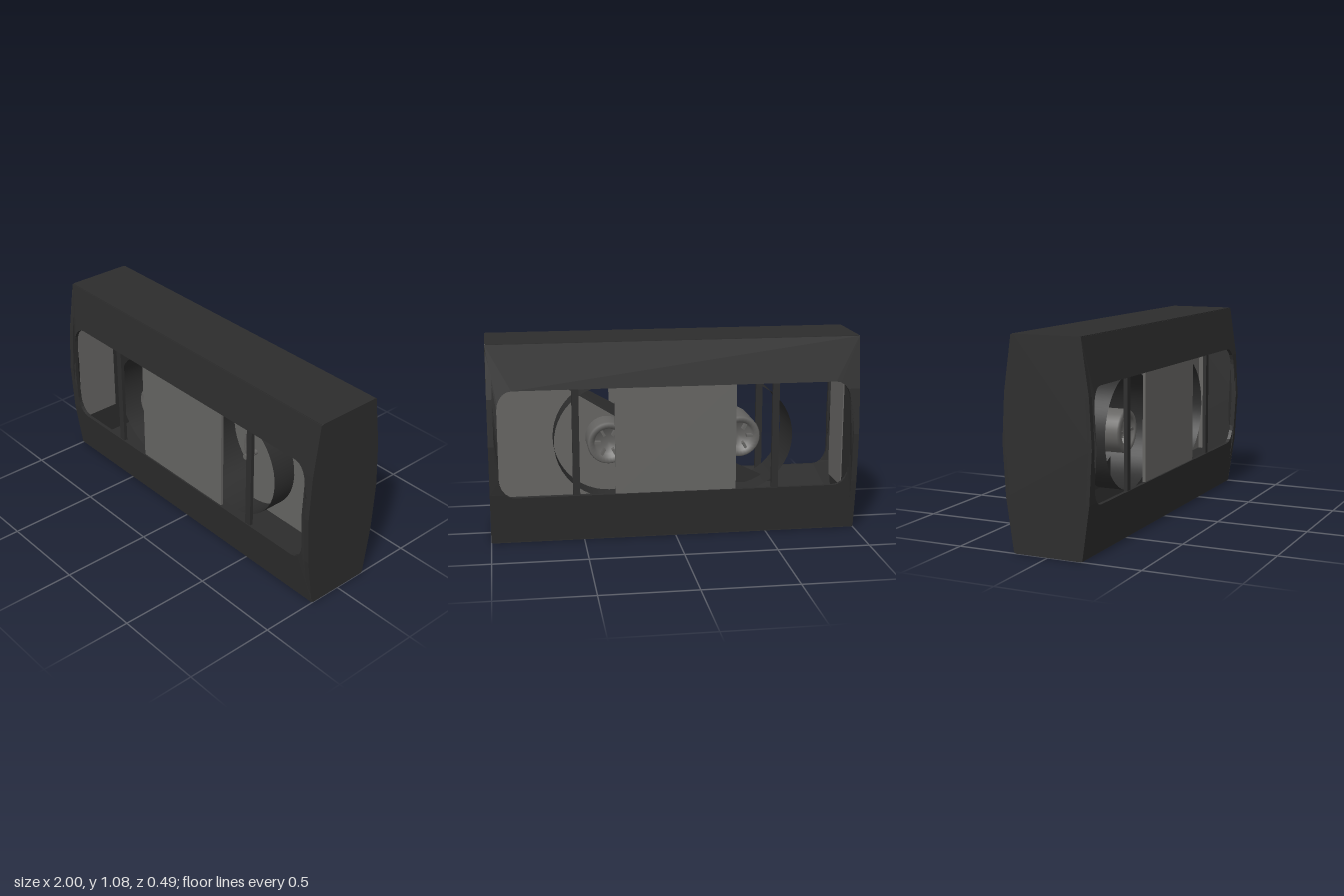
import * as THREE from 'three';

const shellMat = new THREE.MeshStandardMaterial({ color: 0x2d2d2d, side: THREE.DoubleSide });
shellMat.name = 'charcoal plastic';
const greyMat = new THREE.MeshStandardMaterial({ color: 0x666563, side: THREE.DoubleSide });
greyMat.name = 'warm grey';

const H = 1.083, CY = 0.53;
const profile = [[0, 0.188], [0.28, 0.228], [0.55, 0.243], [0.8, 0.229], [H, 0.188]];

// half depth of the case at height y
function bulge(y) {
  for (let i = 1; i < profile.length; i++) {
    const [y0, z0] = profile[i - 1], [y1, z1] = profile[i];
    if (y <= y1 || i === profile.length - 1) return z0 + (z1 - z0) * (y - y0) / (y1 - y0);
  }
}

function add(parent, name, geo, mat, x = 0, y = 0, z = 0) {
  const m = new THREE.Mesh(geo, mat);
  m.name = name;
  m.position.set(x, y, z);
  parent.add(m);
  return m;
}
const box = (w, h, d) => new THREE.BoxGeometry(w, h, d);

function polygon(points) {
  return new THREE.Shape(points.map(([x, y]) => new THREE.Vector2(x, y)));
}

// Face plate with a rounded window, bent to the bulged profile
function facePlate() {
  const side = [0.005, 0.28, 0.42, 0.55, 0.68, 0.8, H - 0.003];
  const shape = polygon([
    ...side.map(y => [1, y]),
    ...side.slice().reverse().map(y => [-1, y]),
  ]);
  const hole = [];
  const mids = [0.42, 0.55, 0.68];
  const corner = (cx, cy, start) => {
    for (let i = 0; i <= 5; i++) {
      const a = start + i * Math.PI / 10;
      hole.push([cx + 0.08 * Math.cos(a), cy + 0.1 * Math.sin(a)]);
    }
  };
  corner(0.87, 0.74, 0);
  corner(-0.87, 0.74, Math.PI / 2);
  mids.slice().reverse().forEach(y => hole.push([-0.95, y]));
  corner(-0.87, 0.36, Math.PI);
  corner(0.87, 0.36, Math.PI * 1.5);
  mids.forEach(y => hole.push([0.95, y]));
  shape.holes.push(new THREE.Path(hole.map(([x, y]) => new THREE.Vector2(x, y))));
  const geo = new THREE.ExtrudeGeometry(shape, { depth: 0.02, bevelEnabled: false });
  const p = geo.attributes.position;
  for (let i = 0; i < p.count; i++) p.setZ(i, p.getZ(i) - 0.02 + bulge(p.getY(i)));
  geo.computeVertexNormals();
  return geo;
}

// End wall cut to the bulged profile
function endWall() {
  const right = [[0.178, 0], [0.188, 0.012], ...profile.slice(1, 4).map(([y, z]) => [z, y]),
    [0.188, H - 0.012], [0.178, H]];
  const left = right.map(([z, y]) => [-z, y]).reverse();
  const geo = new THREE.ExtrudeGeometry(polygon([...right, ...left]), { depth: 0.03, bevelEnabled: false });
  geo.rotateY(Math.PI / 2);
  return geo;
}

// Hub with rim, recessed web and drive teeth, along z from z0 to z1
function hub(x, z0, z1) {
  const g = new THREE.Group();
  g.name = 'reelHub';
  g.position.set(x, CY, 0);
  const mid = (z0 + z1) / 2, h = (z1 - z0) / 2;
  const pts = [[0, -h + 0.04], [0.07, -h + 0.04], [0.08, -h], [0.108, -h], [0.115, -h + 0.01],
    [0.115, h - 0.01], [0.108, h], [0.08, h], [0.07, h - 0.04], [0, h - 0.04]];
  const geo = new THREE.LatheGeometry(pts.map(([r, y]) => new THREE.Vector2(r, y)), 32);
  geo.rotateX(Math.PI / 2);
  add(g, 'hubBody', geo, greyMat, 0, 0, mid);
  for (let i = 0; i < 6; i++) {
    const a = i * Math.PI / 3;
    const tooth = add(g, 'hubTooth', box(0.035, 0.014, h * 2 - 0.01), greyMat,
      0.06 * Math.cos(a), 0.06 * Math.sin(a), mid);
    tooth.rotation.z = a;
  }
  return g;
}

// One face with its bars, centre panel and end lining
function faceHalf() {
  const g = new THREE.Group();
  add(g, 'facePlate', facePlate(), shellMat);
  for (const s of [-1, 1]) add(g, 'windowBar', box(0.037, 0.6, 0.02), shellMat, s * 0.54, 0.55, 0.21);
  add(g, 'centrePanel', box(0.655, 0.61, 0.015), greyMat, -0.003, 0.55, 0.209);
  add(g, 'endLining', box(0.006, 0.7, 0.25), greyMat, -0.965, 0.55, 0.08);
  return g;
}

export function createModel() {
  const model = new THREE.Group();
  model.name = 'tapeCase';

  // Outer case
  const front = faceHalf();
  front.name = 'frontFace';
  const back = faceHalf();
  back.name = 'backFace';
  back.rotation.y = Math.PI;
  model.add(front, back);
  add(model, 'topWall', box(1.99, 0.02, 0.37), shellMat, 0, H - 0.01, 0);
  add(model, 'bottomWall', box(1.99, 0.02, 0.37), shellMat, 0, 0.01, 0);
  add(model, 'leftWall', endWall(), shellMat, 0.97);
  add(model, 'rightWall', endWall(), shellMat, -1);

  // Reel rings and hubs
  for (const s of [-1, 1]) {
    const ring = new THREE.CylinderGeometry(0.31, 0.31, 0.28, 48, 1, true);
    ring.rotateX(Math.PI / 2);
    add(model, 'reelRing', ring, shellMat, s * 0.342, CY, 0);
  }
  model.add(hub(-0.36, -0.13, 0.13), hub(0.36, -0.17, -0.01));
  const pin = add(model, 'reelPin', new THREE.CylinderGeometry(0.015, 0.015, 0.08, 12), greyMat, 0.36, CY, 0.04);
  pin.rotation.x = Math.PI / 2;

  // Inner sheet behind the left window, with its dark slanted edge
  const sheet = polygon([[0.3, 0.2], [0.97, 0.2], [0.97, 0.88], [0.7, 0.88], [0.3, 0.63]]);
  add(model, 'innerSheet', new THREE.ShapeGeometry(sheet), greyMat);
  const edge = polygon([[0.3, 0.63], [0.7, 0.88], [0.62, 0.88], [0.3, 0.7]]);
  add(model, 'sheetEdge', new THREE.ShapeGeometry(edge), shellMat);
  const wedge = polygon([[-0.6, 0.23], [-0.3, 0.23], [-0.3, 0.375]]);
  add(model, 'lowerWedge', new THREE.ShapeGeometry(wedge), shellMat);

  return model;
}
